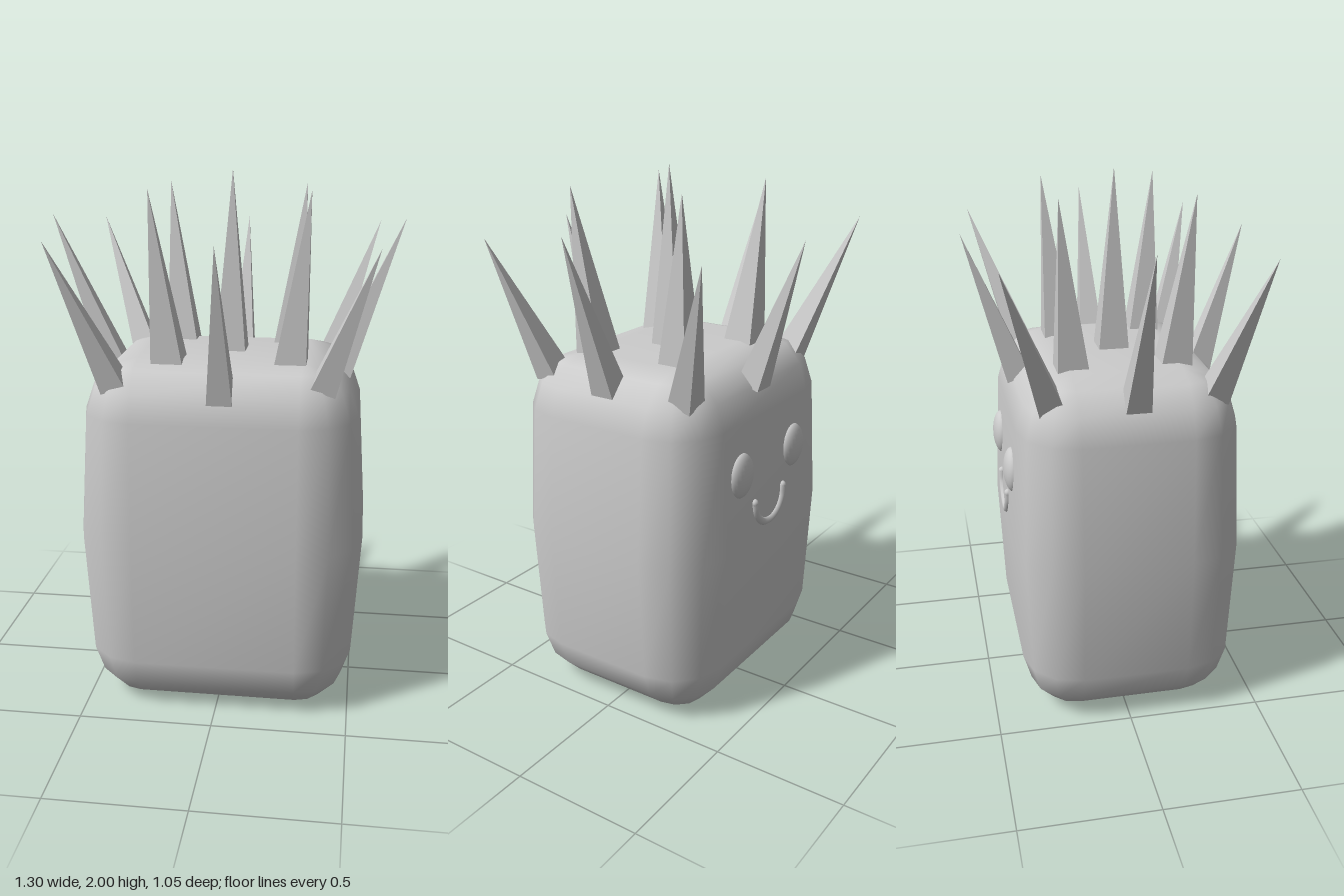
import * as THREE from 'three';
import { mergeVertices } from 'three/addons/utils/BufferGeometryUtils.js';

const smooth = new THREE.MeshStandardMaterial({ color: 0xcccccc });
const faceted = new THREE.MeshStandardMaterial({ color: 0xcccccc, flatShading: true });
const CENTER_Z = 0.02;

// Rounded, slightly bulging block: rings of a rounded rectangle stacked in y
function bodyGeometry() {
  const a = 0.3, b = 0.2; // half size of the flat core
  // y, corner radius in x, corner radius in z
  const levels = [
    [0, 0, 0], [0.03, 0.1, 0.11], [0.1, 0.17, 0.175], [0.2, 0.205, 0.205],
    [0.67, 0.235, 0.227],
    [1.14, 0.205, 0.205], [1.24, 0.17, 0.175], [1.31, 0.1, 0.11], [1.338, 0, 0],
  ];
  const corners = [[1, 1], [-1, 1], [-1, -1], [1, -1]];
  const pos = [], index = [], N = 16;
  for (const [y, rx, rz] of levels) {
    corners.forEach(([sx, sz], c) => {
      for (let i = 0; i < 4; i++) {
        const t = c * Math.PI / 2 + i * Math.PI / 6;
        pos.push(sx * a + rx * Math.cos(t), y, CENTER_Z + sz * b + rz * Math.sin(t));
      }
    });
  }
  for (let l = 0; l < levels.length - 1; l++) {
    for (let i = 0; i < N; i++) {
      const j = (i + 1) % N;
      const p = l * N + i, q = l * N + j, r = p + N, s = q + N;
      // skip collapsed triangles where a corner shrinks to a point
      if (l > 0 || i % 4 === 3) index.push(p, r, q);
      if (l < levels.length - 2 || i % 4 === 3) index.push(q, r, s);
      }
  }
  const top = (levels.length - 1) * N;
  index.push(0, 4, 8, 0, 8, 12);
  index.push(top, top + 8, top + 4, top, top + 12, top + 8);
  let geo = new THREE.BufferGeometry();
  geo.setAttribute('position', new THREE.Float32BufferAttribute(pos, 3));
  geo.setIndex(index);
  geo = mergeVertices(geo, 1e-4);
  geo.computeVertexNormals();
  return geo;
}

// Square pyramid from a base centre to its tip
function spike(base, tip, side) {
  const from = new THREE.Vector3(...base);
  const axis = new THREE.Vector3(...tip).sub(from);
  const h = axis.length();
  const geo = new THREE.ConeGeometry(side / Math.SQRT2, h, 4);
  geo.rotateY(Math.PI / 4);
  geo.translate(0, h / 2, 0);
  const mesh = new THREE.Mesh(geo, faceted);
  mesh.position.copy(from);
  mesh.quaternion.setFromUnitVectors(new THREE.Vector3(0, 1, 0), axis.normalize());
  mesh.name = 'spike';
  return mesh;
}

export function createModel() {
  const model = new THREE.Group();
  model.name = 'spikyBlockCreature';

  const body = new THREE.Mesh(bodyGeometry(), smooth);
  body.name = 'body';
  model.add(body);

  // Spikes: one in the centre, an upright inner ring and a splayed outer ring
  const spikes = new THREE.Group();
  spikes.name = 'spikes';
  spikes.add(spike([0.018, 1.325, 0.025], [0.022, 2, 0.035], 0.115));
  const inner = [
    [[-0.195, 1.325, -0.165], [-0.25, 1.94, -0.21]],
    [[0.225, 1.325, -0.15], [0.28, 1.94, -0.195]],
    [[-0.19, 1.325, 0.215], [-0.245, 1.94, 0.27]],
    [[0.255, 1.325, 0.195], [0.32, 1.94, 0.25]],
  ];
  const outer = [
    [[0.02, 1.24, -0.335], [0.022, 1.78, -0.525]],
    [[0.02, 1.225, 0.36], [0.022, 1.78, 0.525]],
    [[-0.425, 1.255, 0.025], [-0.655, 1.83, 0.03]],
    [[0.425, 1.26, 0.015], [0.65, 1.83, 0.015]],
    [[-0.37, 1.255, -0.27], [-0.572, 1.78, -0.448]],
    [[0.38, 1.255, -0.28], [0.565, 1.775, -0.46]],
    [[-0.37, 1.255, 0.32], [-0.572, 1.78, 0.458]],
    [[0.38, 1.265, 0.31], [0.56, 1.77, 0.443]],
  ];
  inner.forEach(([base, tip]) => spikes.add(spike(base, tip, 0.115)));
  outer.forEach(([base, tip]) => spikes.add(spike(base, tip, 0.092)));
  model.add(spikes);

  // Face on the back side: two domed eyes and a smile
  const face = new THREE.Group();
  face.name = 'face';
  for (const s of [1, -1]) {
    const eye = new THREE.Mesh(new THREE.SphereGeometry(1, 24, 16), smooth);
    eye.scale.set(0.075, 0.086, 0.035);
    eye.position.set(s * 0.19, 0.945, -0.388);
    eye.name = s > 0 ? 'leftEye' : 'rightEye';
    face.add(eye);
  }
  const smilePoints = [];
  for (let i = 0; i <= 8; i++) {
    const t = Math.PI * (1 + i / 8);
    smilePoints.push(new THREE.Vector3(0.105 * Math.cos(t), 0.81 + 0.105 * Math.sin(t), -0.4));
  }
  const smile = new THREE.Mesh(
    new THREE.TubeGeometry(new THREE.CatmullRomCurve3(smilePoints), 32, 0.016, 10), smooth);
  smile.name = 'smile';
  face.add(smile);
  for (const end of [smilePoints[0], smilePoints[8]]) {
    const cap = new THREE.Mesh(new THREE.SphereGeometry(0.016, 10, 8), smooth);
    cap.position.copy(end);
    cap.name = 'smileEnd';
    face.add(cap);
  }
  model.add(face);
  return model;
}
